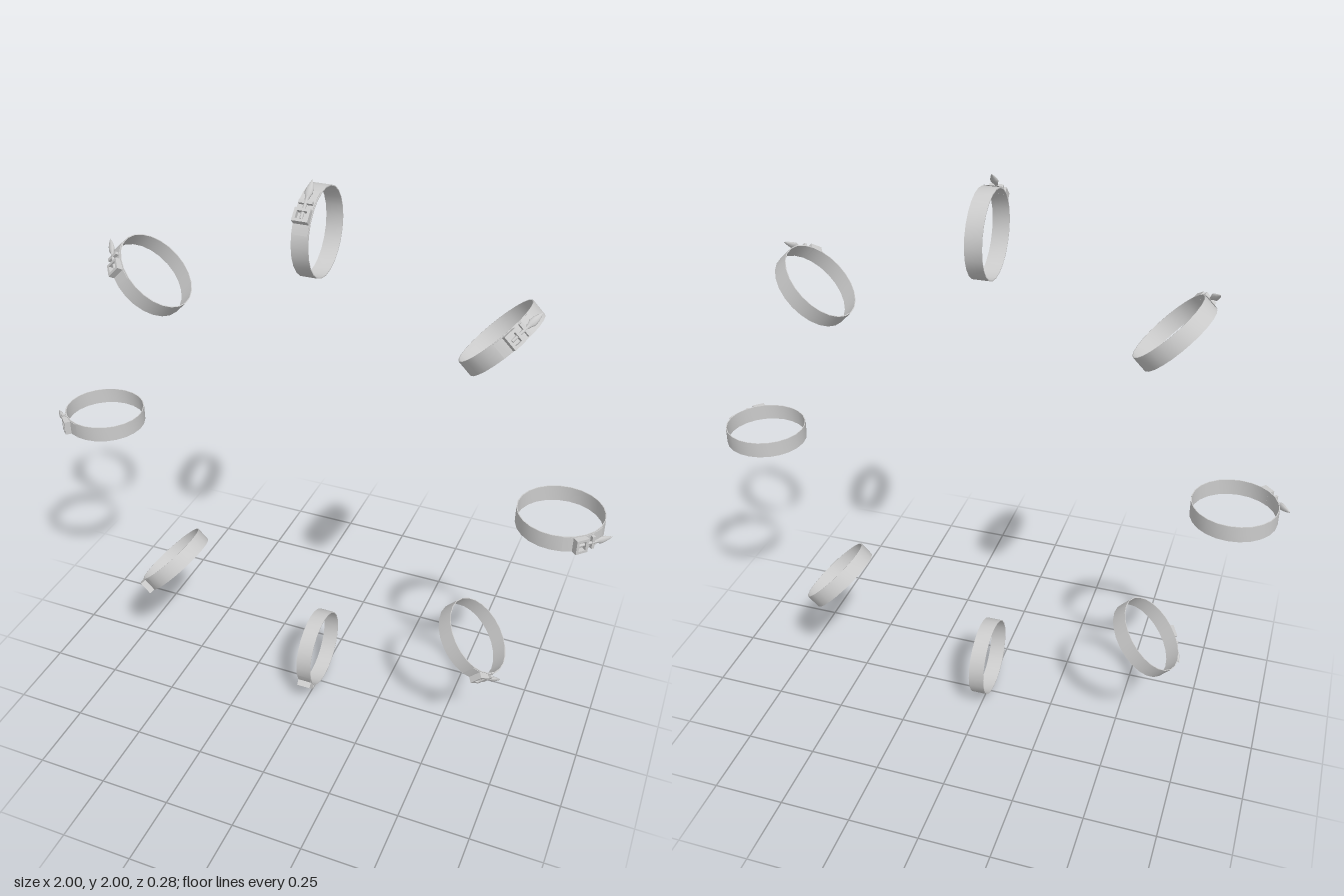
import * as THREE from 'three';
import { toCreasedNormals } from 'three/addons/utils/BufferGeometryUtils.js';

const material = new THREE.MeshStandardMaterial({ color: 0xcccccc, side: THREE.DoubleSide });
const rad = THREE.MathUtils.degToRad;
const PIN_HEIGHT = 0.148;

function addMesh(parent, geometry, name, x = 0, y = 0, z = 0) {
  const mesh = new THREE.Mesh(geometry, material);
  mesh.name = name;
  mesh.position.set(x, y, z);
  parent.add(mesh);
  return mesh;
}

// Flat strap bent round the x axis, from a closed rectangular profile
function strap(inner, outer, width, segments, start = 0, sweep = Math.PI * 2) {
  const h = width / 2;
  const profile = [[outer, -h], [outer, h], [inner, h], [inner, -h], [outer, -h]]
    .map(([r, y]) => new THREE.Vector2(r, y));
  const geometry = new THREE.LatheGeometry(profile, segments, start, sweep);
  geometry.rotateZ(Math.PI / 2);
  return toCreasedNormals(geometry, 0.6);
}

// Open rectangular buckle frame, lying flat with its thickness along y
function frameGeometry(width, length, bar, height) {
  const rect = (path, w, l) => path
    .moveTo(-w / 2, -l / 2).lineTo(w / 2, -l / 2)
    .lineTo(w / 2, l / 2).lineTo(-w / 2, l / 2).closePath();
  const shape = new THREE.Shape();
  rect(shape, width, length);
  const hole = new THREE.Path();
  rect(hole, width - 2 * bar, length - 2 * bar);
  shape.holes.push(hole);
  const geometry = new THREE.ExtrudeGeometry(shape, { depth: height, bevelEnabled: false });
  geometry.translate(0, 0, -height / 2);
  return geometry.rotateX(-Math.PI / 2);
}

// Buckle set tangent to the ring; the pointed end runs toward -z
function createBuckle() {
  const buckle = new THREE.Group();
  buckle.name = 'buckle';
  addMesh(buckle, frameGeometry(0.05, 0.042, 0.009, 0.018), 'buckleFrame', 0, 0.148, 0.021);
  addMesh(buckle, new THREE.BoxGeometry(0.05, 0.006, 0.036), 'bucklePlate', 0, 0.139, 0.024);

  // Pin through the frame and the cross bar
  const pin = new THREE.CylinderGeometry(0.005, 0.005, 0.07, 10).rotateX(Math.PI / 2);
  addMesh(buckle, pin, 'pin', 0, PIN_HEIGHT, -0.005);
  addMesh(buckle, new THREE.BoxGeometry(0.044, 0.016, 0.01), 'crossBar', 0, 0.144, -0.022);

  // Leaf shaped grip with a pointed tip
  const leaf = [[0, 0.028], [0.006, 0.03], [0.008, 0.04], [0.013, 0.052], [0.011, 0.066], [0.006, 0.082], [0, 0.095]]
    .map(([r, y]) => new THREE.Vector2(r, y));
  const grip = new THREE.LatheGeometry(leaf, 10);
  grip.rotateX(-Math.PI / 2).scale(1, 0.6, 1);
  addMesh(buckle, grip, 'grip', 0, PIN_HEIGHT, 0);

  buckle.rotation.x = rad(45);
  return buckle;
}

function createClamp() {
  const clamp = new THREE.Group();
  addMesh(clamp, strap(0.137, 0.14, 0.055, 24), 'band');
  // Overlapping end of the strap under the buckle
  addMesh(clamp, strap(0.1395, 0.142, 0.05, 6, rad(15), rad(60)), 'bandOverlap');
  clamp.add(createBuckle());
  return clamp;
}

export function createModel() {
  const model = new THREE.Group();
  model.name = 'clampCircle';
  const count = 8, radius = 0.828;
  for (let i = 0; i < count; i++) {
    const angle = (i / count) * Math.PI * 2;
    const clamp = createClamp();
    clamp.name = `clamp${i + 1}`;
    clamp.position.set(-Math.sin(angle) * radius, 1 + Math.cos(angle) * radius, 0);
    clamp.rotation.z = angle;
    model.add(clamp);
  }
  return model;
}
